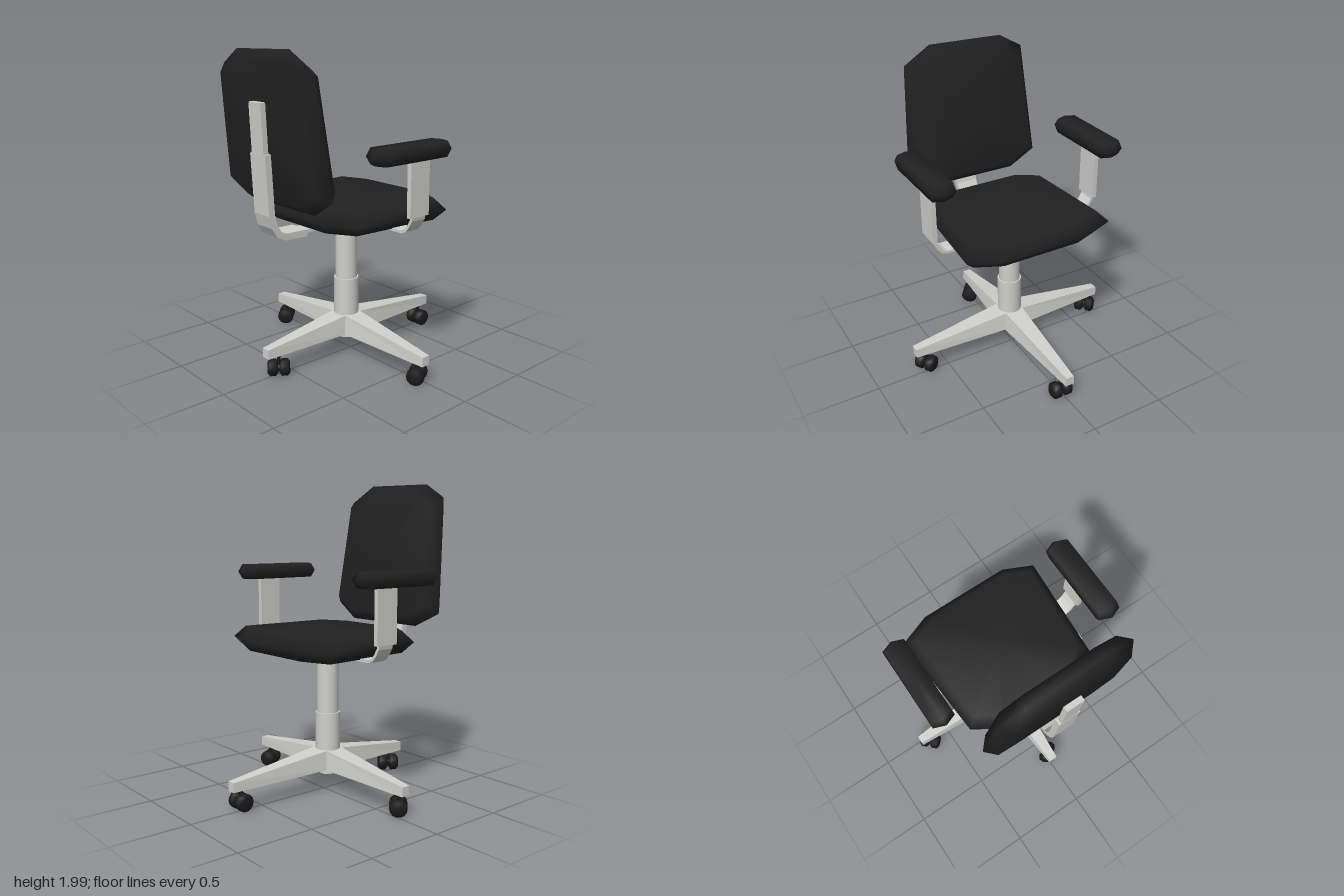
import * as THREE from 'three';

const metal = new THREE.MeshStandardMaterial({ color: 0xcfcfcb });
metal.name = 'pale grey metal';
const fabric = new THREE.MeshStandardMaterial({ color: 0x212121 });
fabric.name = 'black upholstery';
const plastic = new THREE.MeshStandardMaterial({ color: 0x1b1b1b });
plastic.name = 'black plastic';

const AXIS_Z = 0.035; // z of the central column

// Skin a list of equal-length convex rings and close both ends with fans
function loft(rings, flat) {
  const n = rings[0].length;
  const pos = rings.flat(2);
  const idx = [];
  for (let r = 0; r < rings.length - 1; r++) {
    for (let i = 0; i < n; i++) {
      const j = (i + 1) % n, a = r * n, b = a + n;
      idx.push(a + i, a + j, b + j, a + i, b + j, b + i);
    }
  }
  [0, rings.length - 1].forEach((r, end) => {
    const centre = pos.length / 3;
    for (let k = 0; k < 3; k++) pos.push(rings[r].reduce((s, p) => s + p[k], 0) / n);
    for (let i = 0; i < n; i++) {
      const a = r * n + i, b = r * n + (i + 1) % n;
      idx.push(centre, end ? a : b, end ? b : a);
    }
  });
  let g = new THREE.BufferGeometry();
  g.setAttribute('position', new THREE.Float32BufferAttribute(pos, 3));
  g.setIndex(idx);
  if (flat) g = g.toNonIndexed();
  g.computeVertexNormals();
  return g;
}

// Padded slab: full outline at mid thickness, smaller outline on both faces
function cushion(outline, half, inset) {
  const ring = (z, s) => outline.map(([x, y]) => [x * s, y * s, z]);
  return loft([ring(-half, inset), ring(0, 1), ring(half, inset)]);
}

// Flat bar bent along a path in the xy plane, centred on z
function bentBar(path, thick, width) {
  const side = (s) => path.map(([x, y], i) => {
    const a = path[Math.max(i - 1, 0)], b = path[Math.min(i + 1, path.length - 1)];
    const dx = b[0] - a[0], dy = b[1] - a[1], l = Math.hypot(dx, dy);
    return new THREE.Vector2(x - (dy / l) * s, y + (dx / l) * s);
  });
  const shape = new THREE.Shape([...side(thick / 2), ...side(-thick / 2).reverse()]);
  return new THREE.ExtrudeGeometry(shape, { depth: width, bevelEnabled: false }).translate(0, 0, -width / 2);
}

export function createModel() {
  const model = new THREE.Group();
  model.name = 'officeChair';
  const add = (name, geometry, material, parent = model) => {
    const m = new THREE.Mesh(geometry, material);
    m.name = name;
    parent.add(m);
    return m;
  };
  const cyl = (rt, rb, y0, y1, seg = 28) =>
    new THREE.CylinderGeometry(rt, rb, y1 - y0, seg).translate(0, (y0 + y1) / 2, AXIS_Z);

  // Central column and seat plate
  add('columnUpper', cyl(0.07, 0.07, 0.5, 0.9), metal);
  add('columnLower', cyl(0.08, 0.08, 0.16, 0.52), metal);
  add('columnFoot', cyl(0.055, 0.055, 0.11, 0.17), metal);
  add('seatPlate', cyl(0.29, 0.13, 0.88, 0.93), metal);

  // Four tapered legs: tip distance, heading, caster position, caster turn
  const legs = [
    { length: 0.72, turn: 0, at: [0.645, 0.03], swivel: -1.04 },
    { length: 0.755, turn: Math.PI / 2, at: [0.015, -0.64], swivel: 0 },
    { length: 0.72, turn: Math.PI, at: [-0.65, 0.045], swivel: -0.785 },
    { length: 0.655, turn: -Math.PI / 2, at: [0.015, 0.605], swivel: 0.93 },
  ];
  const section = (x, y0, y1, bottom, top) =>
    [[x, y0, bottom], [x, y0, -bottom], [x, y1, -top], [x, y1, top]];
  const wheel = new THREE.LatheGeometry(
    [[0, -0.033], [0.035, -0.033], [0.055, -0.018], [0.055, 0.018], [0.035, 0.033], [0, 0.033]]
      .map(([x, y]) => new THREE.Vector2(x, y)), 14).rotateZ(Math.PI / 2);

  legs.forEach(({ length, turn, at, swivel }) => {
    const leg = add('baseLeg', loft([
      section(0, 0.155, 0.285, 0.085, 0.07),
      section(length, 0.14, 0.2, 0.03, 0.027),
    ], true), metal);
    leg.position.z = AXIS_Z;
    leg.rotation.y = turn;

    // Twin-wheel caster
    const caster = new THREE.Group();
    caster.name = 'caster';
    caster.position.set(at[0], 0.06, at[1]);
    caster.rotation.y = swivel;
    model.add(caster);
    for (const s of [-1, 1]) add('casterWheel', wheel, plastic, caster).position.x = s * 0.037;
    add('casterAxle', new THREE.CylinderGeometry(0.025, 0.025, 0.06, 10).rotateZ(Math.PI / 2), plastic, caster);
    add('casterStem', new THREE.CylinderGeometry(0.011, 0.011, 0.1, 10).translate(0, 0.05, 0), plastic, caster);
  });

  // Seat cushion
  add('seat', cushion([
    [-0.29, -0.46], [0.27, -0.46], [0.46, -0.35], [0.51, 0.35],
    [0.32, 0.44], [-0.29, 0.44], [-0.505, 0.36], [-0.46, -0.355],
  ], 0.07, 0.87).rotateX(-Math.PI / 2).translate(0, 1.0, 0), fabric);

  // Reclined backrest
  add('backrest', cushion([
    [-0.3, -0.465], [0.3, -0.465], [0.47, -0.36], [0.415, 0.36],
    [0.23, 0.468], [-0.28, 0.46], [-0.435, 0.37], [-0.49, -0.37],
  ], 0.07, 0.875).rotateX(0.114).translate(0, 1.535, 0.587), fabric);

  // Backrest post, drawn in the side plane
  const sideBar = (name, path, thick, width) =>
    add(name, bentBar(path, thick, width).rotateY(-Math.PI / 2), metal);
  sideBar('backPostUpper', [[0.702, 1.705], [0.688, 1.38]], 0.034, 0.116);
  sideBar('backPostLower', [
    [0.687, 1.41], [0.668, 1.05], [0.65, 0.98], [0.62, 0.93], [0.57, 0.905], [0.41, 0.902],
  ], 0.042, 0.146);
  sideBar('backPostTongue', [[0.42, 0.905], [0.1, 0.905]], 0.02, 0.116);

  // Armrests with flat uprights and curved brackets
  for (const s of [-1, 1]) {
    const arm = new THREE.Group();
    arm.name = s > 0 ? 'leftArm' : 'rightArm';
    model.add(arm);
    add('armUpright', new THREE.BoxGeometry(0.03, 0.36, 0.155).translate(s * 0.583, 1.21, -0.013), metal, arm);
    add('armBracket', bentBar([
      [0.583, 1.04], [0.578, 1.01], [0.555, 0.97], [0.53, 0.94], [0.5, 0.928], [0.1, 0.926],
    ].map(([x, y]) => [s * x, y]), 0.018, 0.11).translate(0, 0, -0.015), metal, arm);
    add('armPad', cushion([
      [-0.074, -0.275], [0, -0.303], [0.074, -0.275], [0.074, 0.275], [0, 0.303], [-0.074, 0.275],
    ], 0.048, 0.9).rotateX(-Math.PI / 2).translate(s > 0 ? 0.569 : -0.6, 1.418, 0.049), fabric, arm);
  }
  return model;
}
